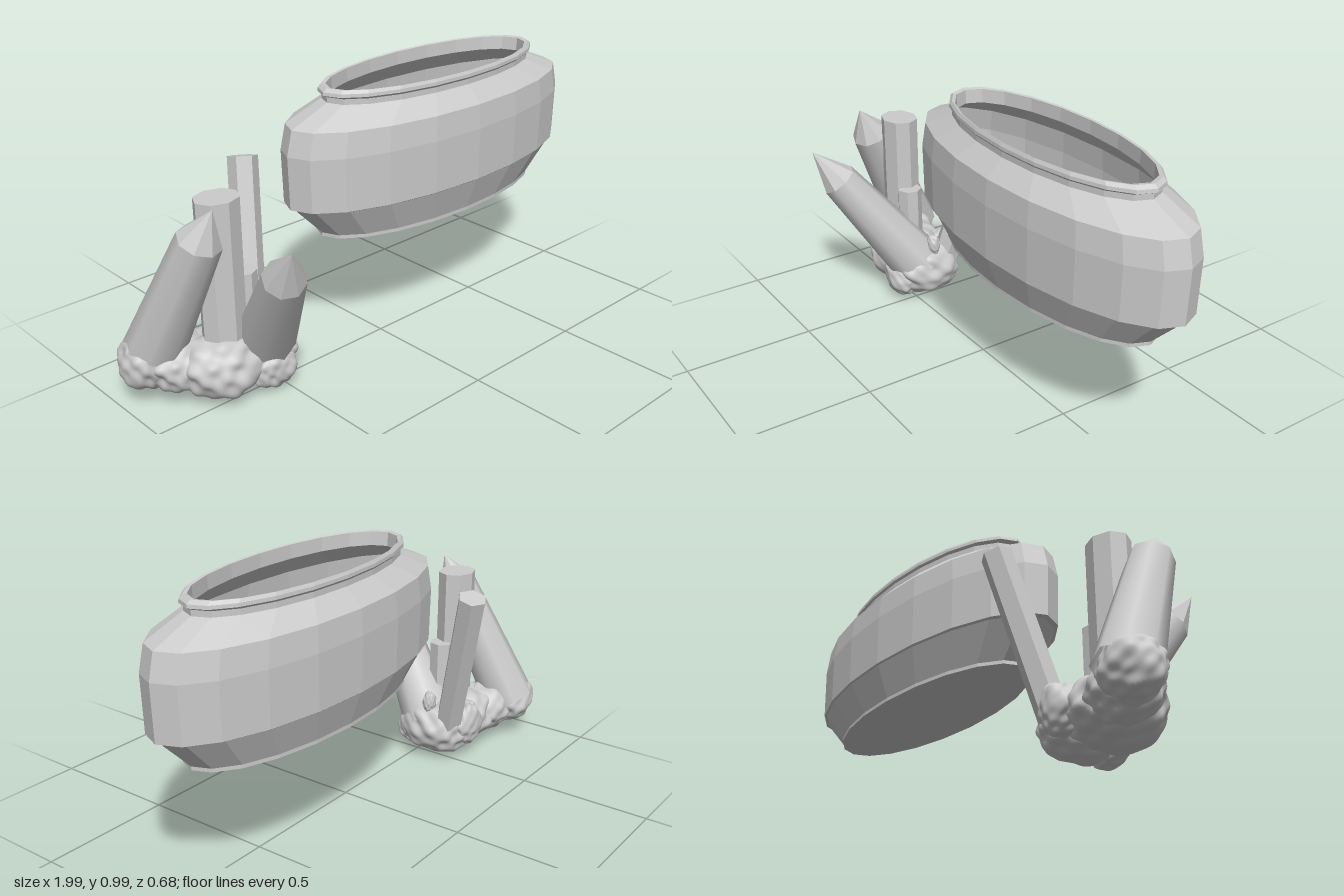
import * as THREE from 'three';
import { mergeVertices } from 'three/addons/utils/BufferGeometryUtils.js';

const V = (x, y, z) => new THREE.Vector3(x, y, z);
const UP = V(0, 1, 0);
const smooth = new THREE.MeshStandardMaterial({ color: 0xcccccc, side: THREE.DoubleSide });
const faceted = new THREE.MeshStandardMaterial({ color: 0xcccccc, side: THREE.DoubleSide, flatShading: true });
const soilMaterial = new THREE.MeshStandardMaterial({ color: 0x6b5a42, side: THREE.DoubleSide });

function add(parent, name, geometry, material) {
  const mesh = new THREE.Mesh(geometry, material);
  mesh.name = name;
  parent.add(mesh);
  return mesh;
}

// Prism from base to top, tapered, with an optional pointed end
function crystal(parent, name, base, top, r0, r1, sides, tip = 0, material = faceted) {
  const group = new THREE.Group();
  const axis = top.clone().sub(base);
  const length = axis.length();
  group.name = name;
  group.position.copy(base);
  group.quaternion.setFromUnitVectors(UP, axis.normalize());
  const body = new THREE.CylinderGeometry(r1, r0, length, sides, 1, tip > 0);
  add(group, name + 'Shaft', body.translate(0, length / 2, 0), material);
  if (tip > 0) {
    const point = new THREE.ConeGeometry(r1, tip, sides, 1, true);
    add(group, name + 'Point', point.translate(0, length + tip / 2, 0), faceted);
  }
  parent.add(group);
  return group;
}

// Smooth ball with rolling lumps pushed along its radius
function rock(parent, name, center, radii, seed) {
  let geometry = new THREE.IcosahedronGeometry(1, 14);
  geometry.deleteAttribute('uv');
  geometry.deleteAttribute('normal');
  geometry = mergeVertices(geometry, 1e-4);
  const p = geometry.attributes.position;
  const v = V(0, 0, 0);
  for (let i = 0; i < p.count; i++) {
    v.fromBufferAttribute(p, i);
    const big = Math.sin(3.1 * v.x + seed) * Math.sin(3.7 * v.y + 2 * seed) * Math.cos(3.3 * v.z - seed);
    const small = Math.sin(7 * v.x + 2 * v.y + seed) * Math.sin(8 * v.y - 3 * v.z) * Math.sin(7 * v.z + 3 * v.x + seed);
    v.multiplyScalar(1 + 0.09 * big + 0.08 * small).multiply(radii).add(center);
    p.setXYZ(i, v.x, v.y, v.z);
  }
  geometry.computeVertexNormals();
  add(parent, name, geometry, smooth);
}

export function createModel() {
  const model = new THREE.Group();
  model.name = 'potAndCrystals';

  // Oval pot: outer wall, rolled rim, inner wall
  const pot = new THREE.Group();
  pot.name = 'pot';
  pot.position.set(0.305, 0, -0.05);
  pot.scale.z = 0.364;
  const profile = [
    [0, 0.465], [0.545, 0.465], [0.545, 0.478], [0.665, 0.6], [0.684, 0.605],
    [0.69, 0.8], [0.668, 0.89], [0.51, 0.952], [0.51, 0.972], [0.527, 0.98],
    [0.525, 0.992], [0.51, 1.003], [0.492, 1.0], [0.488, 0.95], [0.645, 0.882],
    [0.668, 0.8], [0.66, 0.61], [0.61, 0.555],
  ].map(([r, y]) => new THREE.Vector2(r, y));
  add(pot, 'potWall', new THREE.LatheGeometry(profile, 20), faceted);

  // Rolling soil bed inside the pot
  const bed = new THREE.RingGeometry(0.001, 0.6, 40, 16).rotateX(-Math.PI / 2);
  const s = bed.attributes.position;
  for (let i = 0; i < s.count; i++) {
    const x = s.getX(i), z = s.getZ(i);
    const fade = 1 - Math.pow(Math.hypot(x, z) / 0.6, 4);
    const bumps = Math.sin(8 * x + 3 * Math.sin(5 * z)) * Math.cos(6 * z + 2 * x);
    s.setY(i, 0.545 + fade * (0.02 + 0.03 * bumps));
  }
  bed.computeVertexNormals();
  add(pot, 'soil', bed, soilMaterial);
  model.add(pot);

  // Crystal cluster
  const cluster = new THREE.Group();
  cluster.name = 'crystalCluster';
  crystal(cluster, 'frontCrystal', V(-0.53, 0.14, -0.04), V(-0.65, 0.55, 0.25), 0.112, 0.074, 8, 0.16, smooth);
  crystal(cluster, 'sideCrystal', V(-0.88, 0.16, -0.21), V(-0.8, 0.65, 0.02), 0.108, 0.078, 8, 0.13, smooth);
  crystal(cluster, 'uprightCrystal', V(-0.68, 0.1, -0.05), V(-0.68, 0.743, -0.05), 0.082, 0.082, 8).scale.z = 0.85;
  crystal(cluster, 'shortCrystal', V(-0.6, 0.1, -0.04), V(-0.6, 0.46, -0.04), 0.05, 0.05, 7);
  crystal(cluster, 'leaningCrystal', V(-0.51, 0.1, -0.13), V(-0.395, 0.745, -0.29), 0.055, 0.055, 6);

  // Lumpy rocks at the foot
  const rocks = [
    ['innerRock', V(-0.53, 0.13, -0.065), V(0.12, 0.115, 0.15)],
    ['middleRock', V(-0.69, 0.135, -0.07), V(0.16, 0.12, 0.155)],
    ['outerRock', V(-0.89, 0.165, -0.2), V(0.105, 0.105, 0.1)],
    ['bridgeRock', V(-0.8, 0.14, -0.14), V(0.13, 0.1, 0.11)],
    ['frontPebble', V(-0.55, 0.1, 0.04), V(0.09, 0.08, 0.06)],
    ['backPebble', V(-0.57, 0.15, -0.18), V(0.08, 0.09, 0.06)],
    ['topPebble', V(-0.47, 0.245, -0.07), V(0.03, 0.045, 0.025)],
  ];
  rocks.forEach(([name, center, radii], i) => rock(cluster, name, center, radii, 1.3 * i + 0.7));
  model.add(cluster);

  return model;
}
